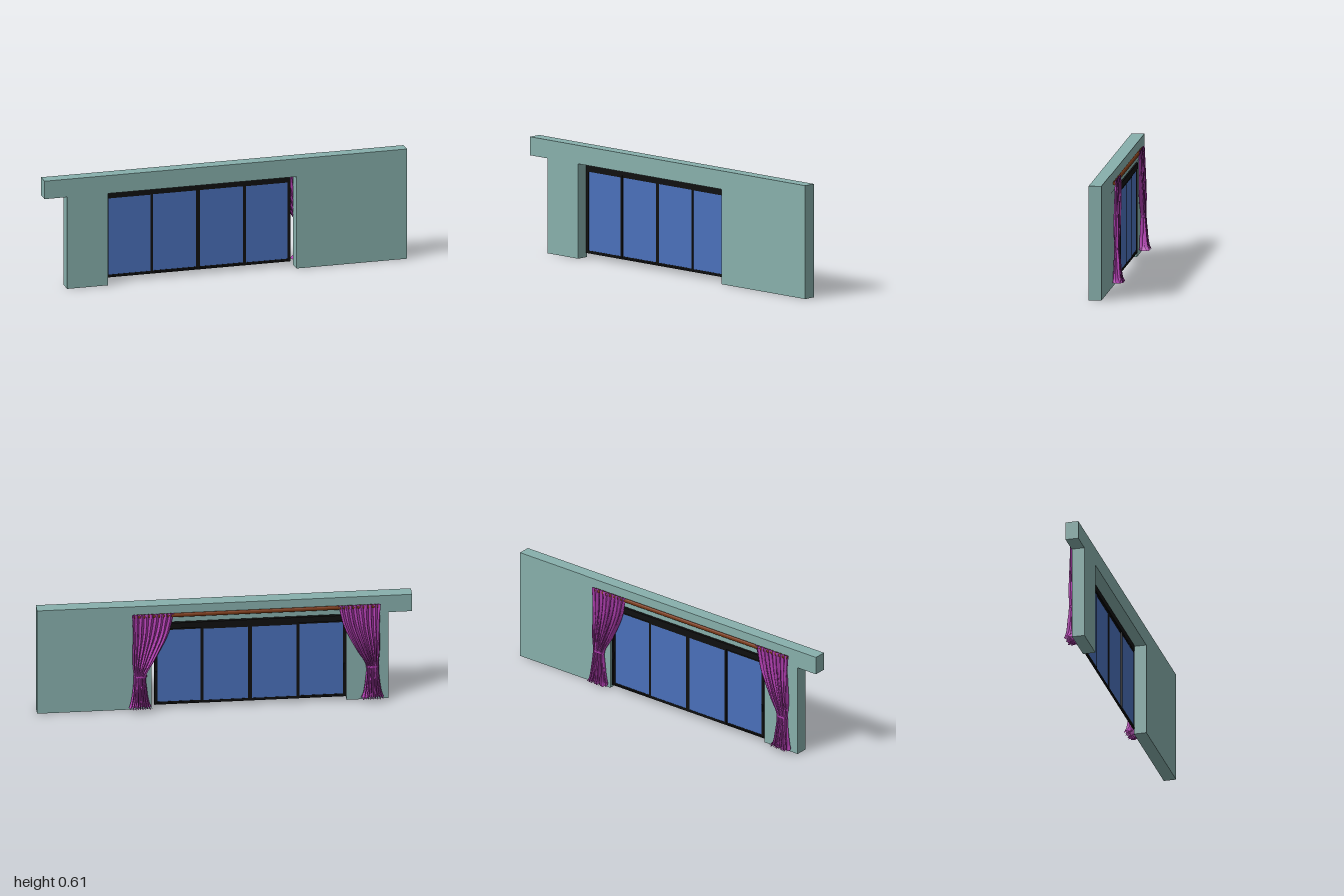
import * as THREE from 'three';

const mat = (color, extra = {}) => new THREE.MeshStandardMaterial({ color, ...extra });
const wallMat = mat(0x88b0ac);
const frameMat = mat(0x101010);
const glassMat = mat(0x4a70bb);
const rodMat = mat(0x7a3a18);
const clothMat = mat(0xb23fb2, { side: THREE.DoubleSide });

const MIRROR_X = -0.167; // the two curtains mirror each other about this line

function add(parent, name, geometry, material) {
  const mesh = new THREE.Mesh(geometry, material);
  mesh.name = name;
  parent.add(mesh);
  return mesh;
}

// Box given by its limits on each axis
function box(parent, name, [x0, x1], [y0, y1], [z0, z1], material) {
  const mesh = add(parent, name, new THREE.BoxGeometry(x1 - x0, y1 - y0, z1 - z0), material);
  mesh.position.set((x0 + x1) / 2, (y0 + y1) / 2, (z0 + z1) / 2);
}

// Wall outline pushed through the wall thickness
function wallPiece(parent, name, outline) {
  const shape = new THREE.Shape(outline.map(([x, y]) => new THREE.Vector2(x, y)));
  const geometry = new THREE.ExtrudeGeometry(shape, { depth: 0.068, bevelEnabled: false });
  add(parent, name, geometry, wallMat).position.z = -0.003;
}

function buildWall() {
  const wall = new THREE.Group();
  wall.name = 'wall';
  wallPiece(wall, 'wideWallAndLintel',
    [[0.39, 0], [1, 0], [1, 0.613], [-0.65, 0.613], [-0.65, 0.513], [0.39, 0.513]]);
  wallPiece(wall, 'narrowPierAndBeamEnd',
    [[-0.875, 0], [-0.65, 0], [-0.65, 0.613], [-1, 0.613], [-1, 0.513], [-0.875, 0.513]]);
  box(wall, 'rearBeam', [-1, 0.56], [0.513, 0.613], [-0.005, 0], wallMat);
  return wall;
}

function buildWindow() {
  const group = new THREE.Group();
  group.name = 'slidingWindow';
  // Outer frame
  box(group, 'topRail', [-0.65, 0.375], [0.475, 0.508], [-0.01, 0.005], frameMat);
  box(group, 'bottomTrack', [-0.65, 0.375], [0.023, 0.03], [-0.005, 0.005], frameMat);
  box(group, 'rightJamb', [-0.65, -0.642], [0.023, 0.508], [-0.006, 0.005], frameMat);
  box(group, 'leftJamb', [0.369, 0.375], [0.023, 0.508], [-0.006, 0.005], frameMat);
  // Four sashes, the middle pair on the rear track
  const edges = [-0.642, -0.388, -0.135, 0.118, 0.369];
  for (let i = 0; i < 4; i++) {
    const sash = new THREE.Group();
    sash.name = `sash${i + 1}`;
    const middle = i === 1 || i === 2;
    const z = middle ? [-0.006, 0] : [-0.002, 0.004];
    const x0 = edges[i] - (i === 1 ? 0.006 : 0), x1 = edges[i + 1] + (i === 2 ? 0.006 : 0);
    const w = 0.011;
    box(sash, 'stile', [x0, x0 + w], [0.025, 0.476], z, frameMat);
    box(sash, 'stile', [x1 - w, x1], [0.025, 0.476], z, frameMat);
    box(sash, 'lowerRail', [x0, x1], [0.025, 0.038], z, frameMat);
    box(sash, 'upperRail', [x0, x1], [0.464, 0.476], z, frameMat);
    box(sash, 'glass', [x0 + w, x1 - w], [0.038, 0.464], [z[0] + 0.0015, z[1] - 0.0015], glassMat);
    group.add(sash);
  }
  // Small pulls on the outer stiles
  for (const x of [-0.638, 0.365]) box(group, 'handle', [x - 0.003, x + 0.003], [0.18, 0.22], [-0.009, -0.002], frameMat);
  return group;
}

// Cross-sections from top to hem: height, inner x, outer x, front z, back z
const SECTIONS = [
  [0.573, 0.272, 0.497, -0.018, -0.026],
  [0.540, 0.276, 0.496, -0.015, -0.029],
  [0.440, 0.302, 0.492, -0.011, -0.034],
  [0.300, 0.370, 0.490, -0.007, -0.038],
  [0.210, 0.420, 0.483, -0.010, -0.036],
  [0.130, 0.417, 0.487, -0.007, -0.043],
  [0.045, 0.402, 0.500, -0.004, -0.053],
  [0.023, 0.390, 0.510, -0.003, -0.063],
];

// Pleated cloth swept through the sections
function curtainGeometry() {
  const spanCurve = new THREE.CatmullRomCurve3(SECTIONS.map(s => new THREE.Vector3(s[1], s[0], s[2])));
  const depthCurve = new THREE.CatmullRomCurve3(SECTIONS.map(s => new THREE.Vector3(s[3], s[0], s[4])));
  const rows = 56, cols = 144, pleats = 9;
  const position = [], index = [];
  for (let j = 0; j <= rows; j++) {
    const t = j / rows;
    const span = spanCurve.getPoint(t), depth = depthCurve.getPoint(t);
    const mid = (depth.x + depth.z) / 2, amp = (depth.x - depth.z) / 2;
    for (let i = 0; i <= cols; i++) {
      const u = i / cols;
      const angle = 2 * Math.PI * pleats * u + 0.8 * Math.sin(5 * u + 4 * t);
      const wave = 0.8 * Math.sin(angle) + 0.2 * Math.sin(2.3 * angle + 7 * t);
      const sway = 0.004 * Math.sin(2 * angle) * Math.min(1, 4 * t);
      position.push(THREE.MathUtils.lerp(span.x, span.z, u) + sway, span.y, mid + amp * wave);
      if (i < cols && j < rows) {
        const a = j * (cols + 1) + i, b = a + cols + 1;
        index.push(a, b, a + 1, b, b + 1, a + 1);
      }
    }
  }
  const geometry = new THREE.BufferGeometry();
  geometry.setAttribute('position', new THREE.Float32BufferAttribute(position, 3));
  geometry.setIndex(index);
  geometry.computeVertexNormals();
  return geometry;
}

function buildCurtain(name, side) {
  const curtain = new THREE.Group();
  curtain.name = name;
  add(curtain, 'cloth', curtainGeometry(), clothMat);
  // Band gathering the cloth at the waist
  const band = add(curtain, 'tieBack', new THREE.CylinderGeometry(1, 1, 0.012, 24, 1, true), clothMat);
  band.scale.set(0.035, 1, 0.0145);
  band.position.set(0.452, 0.205, -0.023);
  if (side < 0) {
    curtain.scale.x = -1;
    curtain.position.x = 2 * MIRROR_X;
  }
  return curtain;
}

export function createModel() {
  const model = new THREE.Group();
  model.name = 'curtainedWindowWall';
  model.add(buildWall(), buildWindow());
  // Curtain rod
  const rod = add(model, 'curtainRod', new THREE.CylinderGeometry(0.0115, 0.0115, 1.3, 20), rodMat);
  rod.rotation.z = Math.PI / 2;
  rod.scale.z = 0.7;
  rod.position.set(MIRROR_X, 0.557, -0.0135);
  model.add(buildCurtain('leftCurtain', 1), buildCurtain('rightCurtain', -1));
  return model;
}
